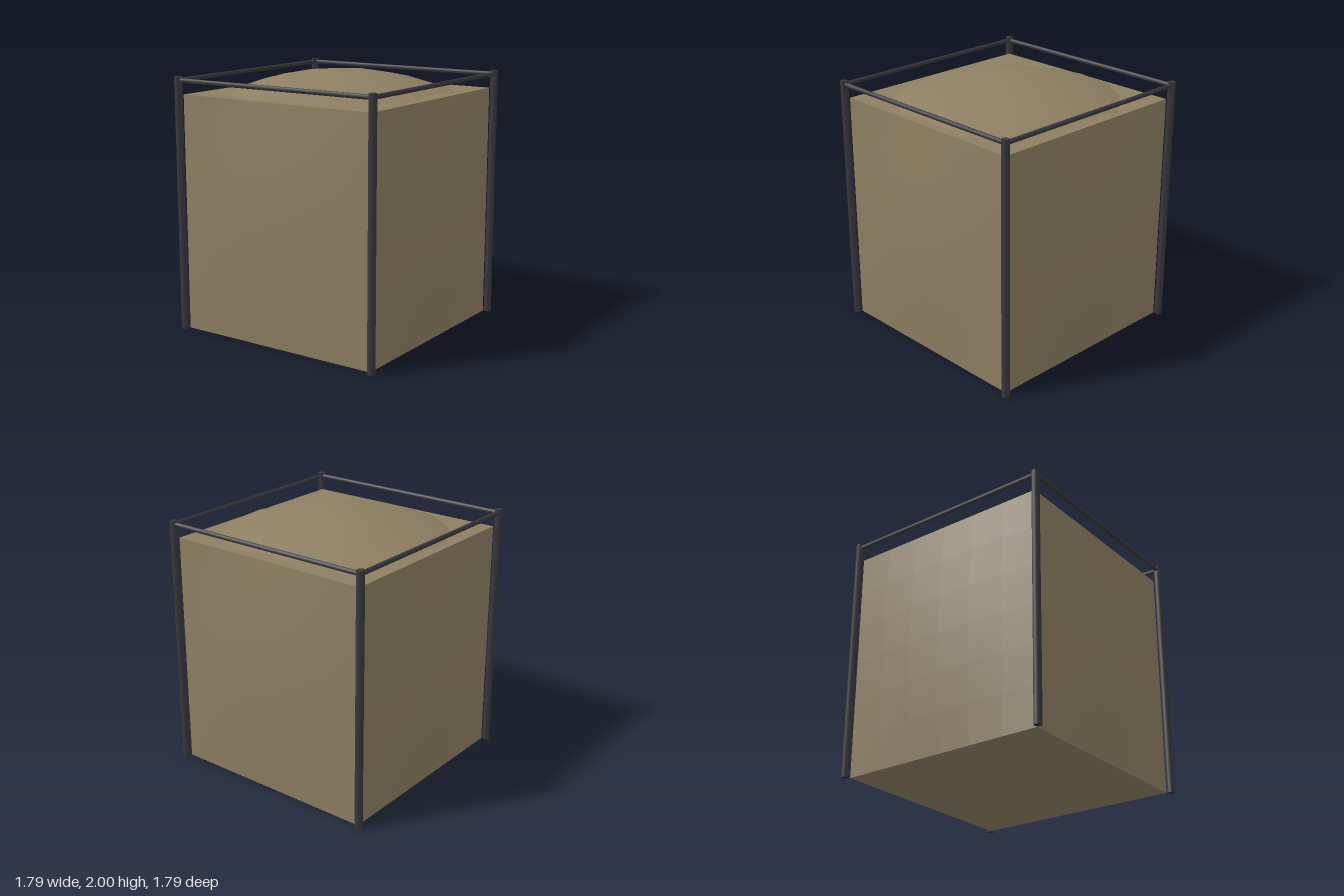
import * as THREE from 'three';

const HALF = 0.84, BAG_H = 1.83, POST = 0.866;

// Square fabric bag whose four walls bulge outwards, flat at the rims
function bagGeometry() {
  const g = new THREE.BoxGeometry(2 * HALF, BAG_H, 2 * HALF, 6, 6, 6);
  g.translate(0, BAG_H / 2, 0);
  const p = g.attributes.position, n = g.attributes.normal;
  for (let i = 0; i < p.count; i++) {
    if (Math.abs(n.getY(i)) > 0.5) continue;
    const x = p.getX(i), y = p.getY(i), z = p.getZ(i);
    const along = Math.abs(n.getX(i)) > 0.5 ? z : x;
    const bulge = 0.046 * Math.cos((along / HALF) * Math.PI / 2) * Math.sin((y / BAG_H) * Math.PI);
    p.setXYZ(i, x + n.getX(i) * bulge, y, z + n.getZ(i) * bulge);
  }
  g.computeVertexNormals();
  return g;
}

// Heaped fill: a shallow, slightly uneven dome on a coarse grid
function fillGeometry() {
  const g = new THREE.PlaneGeometry(1.6, 1.6, 6, 6).rotateX(-Math.PI / 2);
  const p = g.attributes.position;
  for (let i = 0; i < p.count; i++) {
    const x = p.getX(i), z = p.getZ(i), r2 = x * x + z * z;
    const uneven = 0.012 * r2 * Math.sin(5 * x + 1.3 * z) * Math.cos(4 * z - x);
    p.setY(i, 2 - 0.23 * r2 + 0.01 * x * r2 - 0.008 * z * r2 + uneven);
  }
  g.computeVertexNormals();
  return g;
}

export function createModel() {
  const model = new THREE.Group();
  model.name = 'filledBarrier';
  const fabric = new THREE.MeshStandardMaterial({ name: 'tan fabric', color: 0x8e7f62 });
  const earth = new THREE.MeshStandardMaterial({ name: 'earth', color: 0x8e7f62, side: THREE.DoubleSide });
  const steel = new THREE.MeshStandardMaterial({ name: 'dark steel', color: 0x38383d });

  const add = (name, geometry, material) => {
    const mesh = new THREE.Mesh(geometry, material);
    mesh.name = name;
    model.add(mesh);
    return mesh;
  };

  add('fabricBag', bagGeometry(), fabric);
  add('earthFill', fillGeometry(), earth);

  // Corner posts
  const postGeometry = new THREE.CylinderGeometry(0.03, 0.03, 1.965, 8);
  for (const x of [-1, 1]) for (const z of [-1, 1]) {
    add('cornerPost', postGeometry, steel).position.set(x * POST, 1.965 / 2, z * POST);
  }

  // Top rails joining the posts
  const railGeometry = new THREE.CylinderGeometry(0.018, 0.018, 2 * POST, 8).rotateZ(Math.PI / 2);
  for (let i = 0; i < 4; i++) {
    const a = i * Math.PI / 2;
    const rail = add('topRail', railGeometry, steel);
    rail.rotation.y = a;
    rail.position.set(Math.sin(a) * POST, 1.937, Math.cos(a) * POST);
  }
  return model;
}
